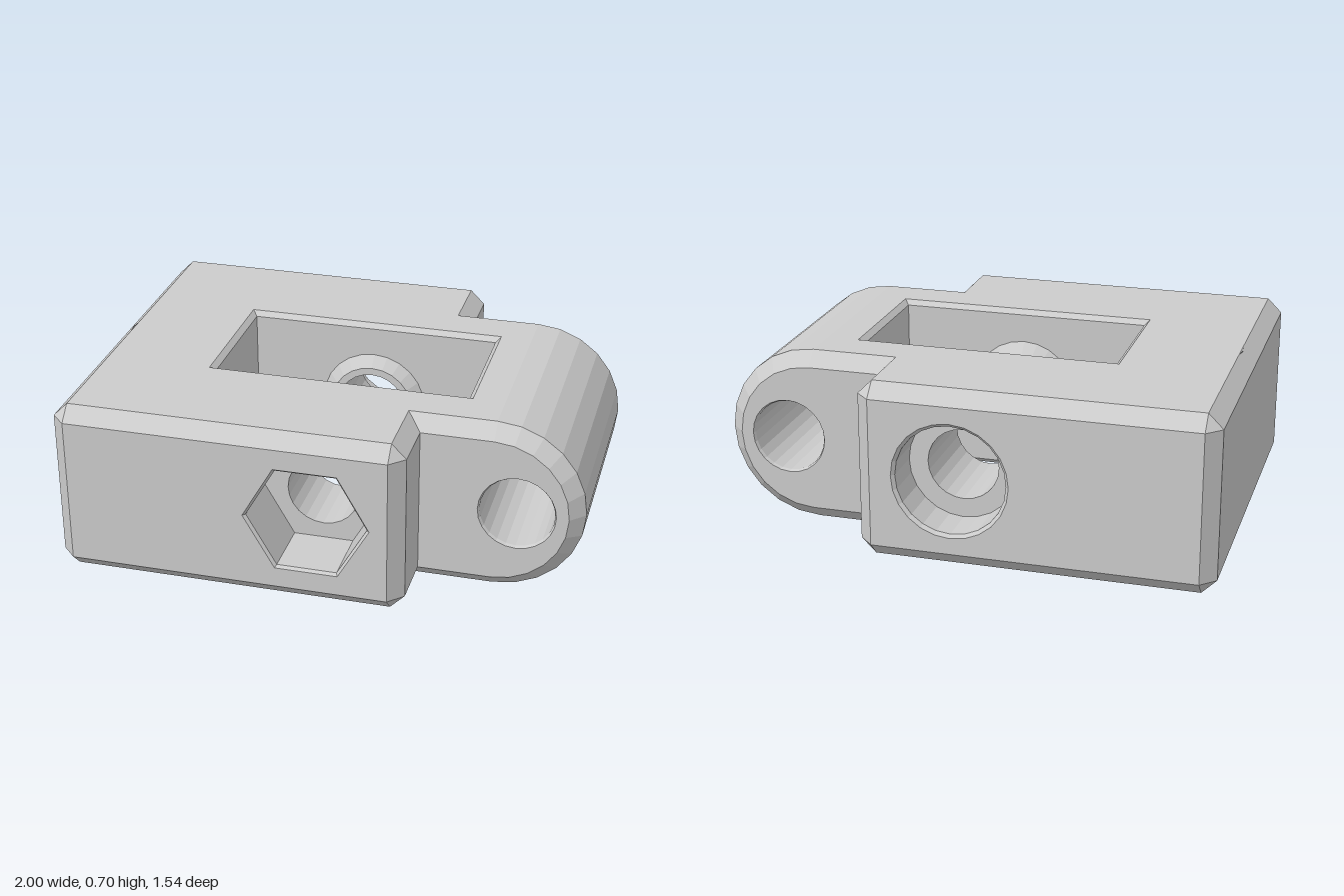
import * as THREE from 'three';
import { mergeGeometries } from 'three/addons/utils/BufferGeometryUtils.js';

const H = 0.7, MID = 0.35, C = 0.057;          // height, axis height, edge chamfer
const X0 = -1, X1 = 0.37, Z = 0.77;            // main block
const ARM_Z = 0.5, ARM_X = 0.65;               // hinge arm half width, round end centre
const WX = 0.505, WZ = 0.265, WC = 0.02;       // window half sizes and its chamfer

const V = (x, y, z) => new THREE.Vector3(x, y, z);

// Reference planes: origin and two in-plane axes; the normal is u x v
const frame = (o, u, v) => ({ o, u, v, n: u.clone().cross(v) });
const TOP = frame(V(0, H, 0), V(1, 0, 0), V(0, 0, -1));
const BOTTOM = frame(V(0, 0, 0), V(1, 0, 0), V(0, 0, 1));
const front = z => frame(V(0, 0, z), V(1, 0, 0), V(0, 1, 0));
const back = z => frame(V(0, 0, z), V(-1, 0, 0), V(0, 1, 0));
const left = x => frame(V(x, 0, 0), V(0, 0, -1), V(0, 1, 0));
const right = x => frame(V(x, 0, 0), V(0, 0, 1), V(0, 1, 0));
const at = (f, [a, b], depth = 0) =>
  f.o.clone().addScaledVector(f.u, a).addScaledVector(f.v, b).addScaledVector(f.n, -depth);

function geometryOf(triangles) {
  const g = new THREE.BufferGeometry().setFromPoints(triangles);
  g.computeVertexNormals();
  return g;
}

// Convex polygon turned to face the hint direction
function poly(points, hint) {
  const n = points[1].clone().sub(points[0]).cross(points[2].clone().sub(points[0]));
  const p = n.dot(hint) < 0 ? [...points].reverse() : points;
  const t = [];
  for (let i = 1; i < p.length - 1; i++) t.push(p[0], p[i], p[i + 1]);
  return geometryOf(t);
}

// Flat panel with holes in a reference plane
function panel(f, outline, holes = []) {
  const vec = pts => pts.map(([a, b]) => new THREE.Vector2(a, b));
  const shape = new THREE.Shape(vec(outline));
  holes.forEach(h => shape.holes.push(new THREE.Path(vec(h))));
  const g = new THREE.ShapeGeometry(shape);
  g.applyMatrix4(new THREE.Matrix4().makeBasis(f.u, f.v, f.n).setPosition(f.o));
  g.deleteAttribute('uv');
  return g.toNonIndexed();
}

const rect = (a0, a1, b0, b1) => [[a0, b0], [a1, b0], [a1, b1], [a0, b1]];

// Ring of 24 points: a circle, or a hexagon sampled at the same angles
function ring(a, b, r, hex = false, turn = 0) {
  return Array.from({ length: 24 }, (_, i) => {
    const deg = i * 15;
    const local = ((deg - turn + 360) % 60) - 30;
    const k = hex ? r * Math.cos(Math.PI / 6) / Math.cos(local * Math.PI / 180) : r;
    const t = deg * Math.PI / 180;
    return [a + k * Math.cos(t), b + k * Math.sin(t)];
  });
}

// Lining of an opening: successive [ring, depth] steps below a plane
function bore(f, steps) {
  const t = [];
  for (let s = 0; s < steps.length - 1; s++) {
    const [ra, da] = steps[s], [rb, db] = steps[s + 1];
    ra.forEach((p, i) => {
      const j = (i + 1) % ra.length;
      const a = at(f, p, da), a2 = at(f, ra[j], da);
      const b = at(f, rb[i], db), b2 = at(f, rb[j], db);
      t.push(a, a2, b2, a, b2, b);
    });
  }
  return geometryOf(t);
}

// Arm side profile: two straight runs and a half circle
function armProfile(r, x) {
  const pts = [[x, MID - r]];
  for (let i = 0; i <= 12; i++) {
    const t = -Math.PI / 2 + i * Math.PI / 12;
    pts.push([ARM_X + r * Math.cos(t), MID + r * Math.sin(t)]);
  }
  pts.push([x, MID + r]);
  return pts;
}

export function createModel() {
  const group = new THREE.Group();
  const material = new THREE.MeshStandardMaterial({
    color: 0xcccccc, flatShading: true, side: THREE.DoubleSide });
  const add = (name, geometries) => {
    const mesh = new THREE.Mesh(mergeGeometries(geometries), material);
    mesh.name = name;
    group.add(mesh);
  };

  const xa = X0 + C, xb = X1 - C, zb = Z - C, az = ARM_Z - C;
  const yLo = C, yHi = H - C;
  const circle = r => ring(0, MID, r);
  const hex = r => ring(0, MID, r, true);
  const screw = r => ring(-0.755, 0, r);
  const screwHex = r => ring(-0.755, 0, r, true, 30);
  const pin = r => ring(0.745, MID, r);

  // Top and bottom faces
  const tee = [[xa, -zb], [xb, -zb], [xb, -az], [ARM_X, -az],
    [ARM_X, az], [xb, az], [xb, zb], [xa, zb]];
  const windowRim = rect(-WX - WC, WX + WC, -WZ - WC, WZ + WC);
  add('topFace', [panel(TOP, tee, [windowRim, screw(0.195)])]);
  add('bottomFace', [panel(BOTTOM, tee, [windowRim, screw(0.187)])]);

  // Block side walls
  const walls = [
    panel(front(Z), rect(xa, xb, yLo, yHi), [hex(0.245)]),
    panel(back(-Z), rect(-xb, -xa, yLo, yHi), [circle(0.228)]),
    panel(right(X0), rect(-zb, zb, yLo, yHi)),
    panel(left(X1), rect(-zb, -ARM_Z, yLo, yHi)),
    panel(left(X1), rect(ARM_Z, zb, yLo, yHi)),
  ];
  add('blockWalls', walls);

  // Block chamfers, mirrored over top/bottom and front/back
  const chamfers = [];
  for (const [y, yi, sy] of [[H, yHi, 1], [0, yLo, -1]]) {
    chamfers.push(poly([V(xa, y, -zb), V(xa, y, zb), V(X0, yi, zb), V(X0, yi, -zb)], V(-1, sy, 0)));
    for (const s of [1, -1]) {
      chamfers.push(
        poly([V(xa, y, s * zb), V(xb, y, s * zb), V(xb, yi, s * Z), V(xa, yi, s * Z)], V(0, sy, s)),
        poly([V(xb, y, s * az), V(xb, y, s * zb), V(X1, yi, s * zb), V(X1, yi, s * ARM_Z)], V(1, sy, 0)),
        poly([V(xa, y, s * zb), V(X0, yi, s * zb), V(xa, yi, s * Z)], V(-1, sy, s)),
        poly([V(xb, y, s * zb), V(X1, yi, s * zb), V(xb, yi, s * Z)], V(1, sy, s)));
    }
  }
  for (const s of [1, -1])
    for (const [x, xi, sx] of [[X0, xa, -1], [X1, xb, 1]])
      chamfers.push(poly([V(x, yLo, s * zb), V(xi, yLo, s * Z), V(xi, yHi, s * Z), V(x, yHi, s * zb)], V(sx, 0, s)));
  add('blockChamfers', chamfers);

  // Hinge arm: round end, bevels and side faces
  const outer = armProfile(MID, xb), inner = armProfile(MID - C, X1);
  const roundEnd = [], bevels = [];
  for (let i = 0; i < outer.length - 1; i++) {
    const [p, q] = [outer[i], outer[i + 1]], [pi, qi] = [inner[i], inner[i + 1]];
    const out = V(q[1] - p[1], p[0] - q[0], 0).normalize();
    if (i > 0 && i < outer.length - 2)
      roundEnd.push(poly([V(...p, -az), V(...p, az), V(...q, az), V(...q, -az)], out));
    for (const s of [1, -1])
      bevels.push(poly([V(...p, s * az), V(...q, s * az), V(...qi, s * ARM_Z), V(...pi, s * ARM_Z)],
        out.clone().setZ(s)));
  }
  add('armRoundEnd', roundEnd);
  add('armBevels', bevels);
  const flip = pts => pts.map(([a, b]) => [-a, b]);
  add('armSides', [panel(front(ARM_Z), inner, [pin(0.15)]),
    panel(back(-ARM_Z), flip(inner), [flip(pin(0.15))])]);
  add('hingePinHole', [bore(front(ARM_Z), [[pin(0.15), 0], [pin(0.144), 0.012],
    [pin(0.144), 2 * ARM_Z - 0.012], [pin(0.15), 2 * ARM_Z]])]);

  // Window through the block, with a chamfered rim at both ends
  const windowHole = rect(-WX, WX, -WZ, WZ);
  add('windowRims', [TOP, BOTTOM].map(f => bore(f, [[windowRim, 0], [windowHole, WC]])));
  add('windowWalls', [
    panel(back(WZ), rect(-WX, WX, WC, H - WC), [circle(0.215)]),
    panel(front(-WZ), rect(-WX, WX, WC, H - WC), [circle(0.215)]),
    panel(right(WX), rect(-WZ, WZ, WC, H - WC)),
    panel(left(-WX), rect(-WZ, WZ, WC, H - WC)),
  ]);

  // Cross bolt: hex nut pocket in front, round pocket behind, a boss inside each wall
  const boltAndBoss = d => [[circle(0.14), d], [circle(0.14), Z - 0.225],
    [circle(0.17), Z - 0.225], [circle(0.215), Z - WZ]];
  add('nutPocketAndBoss', [bore(front(Z), [[hex(0.245), 0], [hex(0.234), 0.012],
    [hex(0.234), 0.25], ...boltAndBoss(0.25)])]);
  add('boltHeadPocketAndBoss', [bore(back(-Z), [[circle(0.228), 0], [circle(0.215), 0.013],
    [circle(0.215), 0.18], ...boltAndBoss(0.18)])]);

  // Vertical screw hole: tapered mouth, hex seat, shaft, round pocket below
  add('verticalScrewHole', [bore(TOP, [[screw(0.195), 0], [screw(0.178), 0.13],
    [screwHex(0.165), 0.13], [screwHex(0.165), 0.3], [screw(0.09), 0.3], [screw(0.09), 0.5],
    [screw(0.175), 0.5], [screw(0.175), H - 0.013], [screw(0.187), H]])]);

  return group;
}
